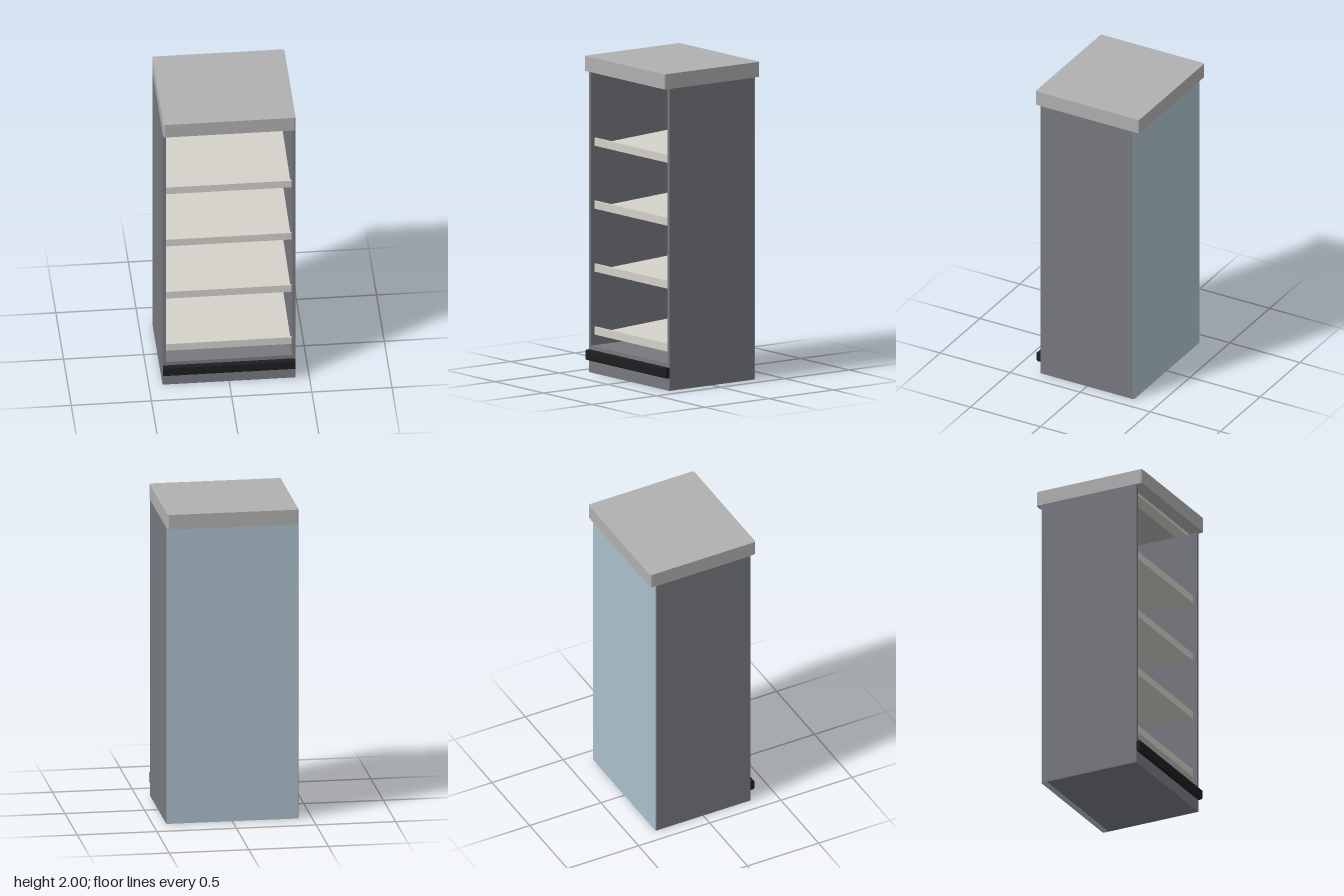
import * as THREE from 'three';

const paint = (color) => new THREE.MeshStandardMaterial({ color });
const steel = paint(0x77797f);
const backBlue = paint(0xaabfc9);
const shelfCream = paint(0xd2d0c8);
const capGrey = paint(0xb0b0b0);
const black = paint(0x1c1e1f);

// Box given by its min and max on each axis
function box(name, [x0, x1], [y0, y1], [z0, z1], material) {
  const mesh = new THREE.Mesh(new THREE.BoxGeometry(x1 - x0, y1 - y0, z1 - z0), material);
  mesh.position.set((x0 + x1) / 2, (y0 + y1) / 2, (z0 + z1) / 2);
  mesh.name = name;
  return mesh;
}

// Side section in (z, y), extruded along x and centred
function extrudeAcross(points, width) {
  const shape = new THREE.Shape(points.map(([z, y]) => new THREE.Vector2(-z, y)));
  const geometry = new THREE.ExtrudeGeometry(shape, { depth: width, bevelEnabled: false });
  return geometry.translate(0, 0, -width / 2).rotateY(Math.PI / 2);
}

// Top slab with rounded vertical corners
function makeCap() {
  const w = 0.412, d = 0.37, r = 0.012;
  const s = new THREE.Shape();
  s.absarc(w - r, d - r, r, 0, Math.PI / 2);
  s.absarc(-w + r, d - r, r, Math.PI / 2, Math.PI);
  s.absarc(-w + r, -d + r, r, Math.PI, Math.PI * 1.5);
  s.absarc(w - r, -d + r, r, Math.PI * 1.5, Math.PI * 2);
  const geometry = new THREE.ExtrudeGeometry(s, { depth: 0.095, bevelEnabled: false, curveSegments: 4 });
  const cap = new THREE.Mesh(geometry.rotateX(-Math.PI / 2), capGrey);
  cap.position.y = 1.905;
  cap.name = 'topCap';
  return cap;
}

// Gently sloping shelf with an upright front lip
function makeShelf(y) {
  const shelf = new THREE.Group();
  shelf.name = 'shelf';
  const section = [[0.3, 0], [0.3, 0.008], [-0.296, 0.042], [-0.296, 0.026]];
  const plate = new THREE.Mesh(extrudeAcross(section, 0.78), shelfCream);
  plate.name = 'shelfPlate';
  shelf.add(plate, box('shelfLip', [-0.392, 0.392], [0, 0.05], [0.293, 0.306], shelfCream));
  shelf.position.y = y;
  return shelf;
}

export function createModel() {
  const model = new THREE.Group();
  model.name = 'displayShelfCabinet';

  // Cabinet shell
  for (const side of [-1, 1]) {
    const panel = box('sidePanel', [-0.0105, 0.0105], [0.001, 1.905], [-0.33, 0.333], steel);
    panel.position.x = side * 0.4045;
    model.add(panel);
  }
  model.add(
    box('backPanel', [-0.412, 0.412], [0, 1.905], [-0.335, -0.295], backBlue),
    box('base', [-0.412, 0.412], [0, 0.17], [-0.295, 0.332], steel),
    makeCap(),
    box('lightStrip', [-0.38, 0.38], [1.885, 1.906], [0.2, 0.28], shelfCream)
  );

  // Front bumper with chamfered outer edges
  const bumper = new THREE.Mesh(extrudeAcross(
    [[0.33, 0.08], [0.354, 0.08], [0.36, 0.086], [0.36, 0.139], [0.354, 0.145], [0.33, 0.145]], 0.826), black);
  bumper.name = 'bumper';
  model.add(bumper);

  // Shelves
  for (let i = 0; i < 4; i++) model.add(makeShelf(0.237 + i * 0.397));

  return model;
}
